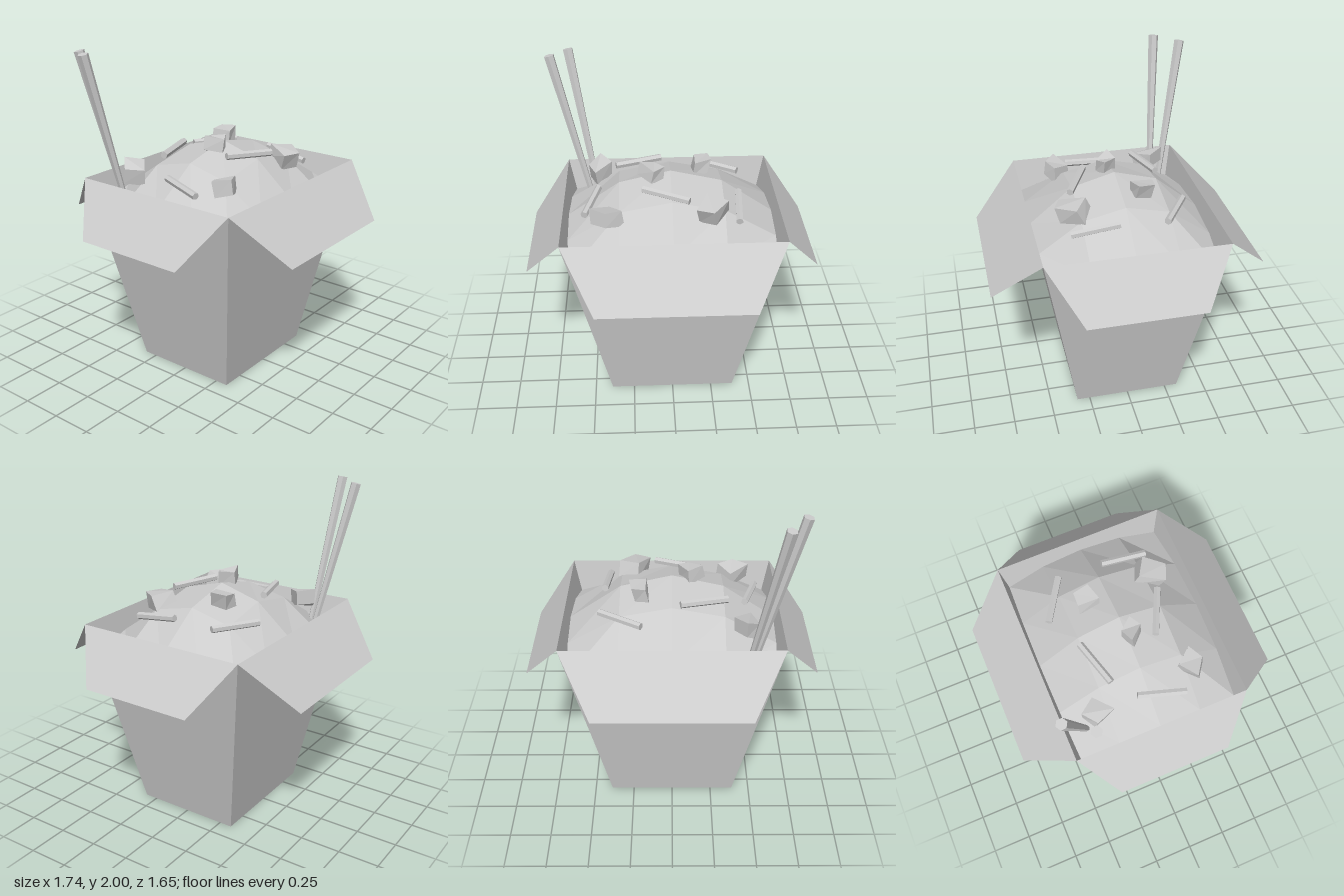
import * as THREE from 'three';

const mat = new THREE.MeshStandardMaterial({ color: 0xcccccc, flatShading: true });
const sheetMat = new THREE.MeshStandardMaterial({ color: 0xcccccc, flatShading: true, side: THREE.DoubleSide });

const RIM = 1.23;
const halfX = y => 0.39 + 0.26 * y / RIM;
const halfZ = y => 0.33 + 0.21 * y / RIM;

// Flat four-cornered sheet, corners counter-clockwise from outside
function quad(name, a, b, c, d) {
  const g = new THREE.BufferGeometry();
  g.setAttribute('position', new THREE.Float32BufferAttribute([a, b, c, a, c, d].flat(), 3));
  g.computeVertexNormals();
  const m = new THREE.Mesh(g, sheetMat);
  m.name = name;
  return m;
}

// Tapered rod between two points
function rod(name, from, to, r0, r1) {
  const a = new THREE.Vector3(...from), b = new THREE.Vector3(...to);
  const dir = b.clone().sub(a);
  const m = new THREE.Mesh(new THREE.CylinderGeometry(r1, r0, dir.length(), 6), mat);
  m.name = name;
  m.position.copy(a).add(b).multiplyScalar(0.5);
  m.quaternion.setFromUnitVectors(new THREE.Vector3(0, 1, 0), dir.normalize());
  return m;
}

// Box with its eight corners pushed about by a repeatable rule
function chunk(x, y, z, size, turn, seed) {
  const g = new THREE.BoxGeometry(size, size * 0.8, size);
  const p = g.attributes.position;
  for (let i = 0; i < p.count; i++) {
    const v = [p.getX(i), p.getY(i), p.getZ(i)];
    const corner = (v[0] > 0 ? 1 : 0) + (v[1] > 0 ? 2 : 0) + (v[2] > 0 ? 4 : 0);
    const w = v.map((c, k) => c + size * 0.16 * Math.sin(seed * 7.3 + corner * 2.9 + k * 4.1));
    p.setXYZ(i, ...w);
  }
  g.computeVertexNormals();
  const m = new THREE.Mesh(g, mat);
  m.name = 'foodChunk';
  m.position.set(x, y, z);
  m.rotation.set(0.25 * Math.sin(seed * 3), turn, 0.25 * Math.cos(seed * 5));
  return m;
}

// Domed filling whose edge follows the tapered walls
function filling() {
  const g = new THREE.PlaneGeometry(2, 2, 4, 4).rotateX(-Math.PI / 2);
  const p = g.attributes.position;
  for (let i = 0; i < p.count; i++) {
    const u = p.getX(i), v = p.getZ(i), uu = u * u, vv = v * v;
    const y = 1.415 - 0.29 * (uu + vv) + 0.19 * uu * vv;
    const x = Math.abs(u) > 0.9 ? Math.sign(u) * halfX(y) : u * 0.625;
    const z = Math.abs(v) > 0.9 ? Math.sign(v) * halfZ(y) : v * 0.525;
    p.setXYZ(i, x, y, z);
  }
  g.computeVertexNormals();
  const m = new THREE.Mesh(g, sheetMat);
  m.name = 'filling';
  return m;
}

export function createModel() {
  const model = new THREE.Group();
  model.name = 'takeawayBox';

  // Carton: floor, four walls and four folded-out flaps
  const carton = new THREE.Group();
  carton.name = 'carton';
  const bx = halfX(0), bz = halfZ(0), tx = halfX(RIM), tz = halfZ(RIM);
  carton.add(quad('floor', [-bx, 0, -bz], [bx, 0, -bz], [bx, 0, bz], [-bx, 0, bz]));
  for (const s of [1, -1]) {
    carton.add(
      quad(s > 0 ? 'frontWall' : 'backWall',
        [-s * bx, 0, s * bz], [s * bx, 0, s * bz], [s * tx, RIM, s * tz], [-s * tx, RIM, s * tz]),
      quad(s > 0 ? 'leftWall' : 'rightWall',
        [s * bx, 0, s * bz], [s * bx, 0, -s * bz], [s * tx, RIM, -s * tz], [s * tx, RIM, s * tz]),
      quad(s > 0 ? 'frontFlap' : 'backFlap',
        [-s * 0.458, 0.94, s * 0.825], [s * 0.458, 0.94, s * 0.825], [s * tx, RIM, s * tz], [-s * tx, RIM, s * tz]),
      quad(s > 0 ? 'leftFlap' : 'rightFlap',
        [s * 0.872, 0.94, s * 0.35], [s * 0.872, 0.94, -s * 0.35], [s * tx, RIM, -s * tz], [s * tx, RIM, s * tz]));
  }
  model.add(carton, filling());

  // Diced pieces: x, y, z, size, turn
  [
    [-0.44, 1.26, -0.33, 0.12, 0.5],
    [0.19, 1.385, -0.13, 0.115, 0.05],
    [-0.11, 1.42, 0.03, 0.11, 0.7],
    [-0.38, 1.275, 0.30, 0.12, 0.8],
    [0.23, 1.315, 0.30, 0.125, 1.1],
  ].forEach(([x, y, z, size, turn], i) => model.add(chunk(x, y, z, size, turn, i + 1)));

  // Thin strips lying on the filling
  [
    [[-0.33, 1.36, -0.19], [-0.05, 1.37, -0.27]],
    [[0.18, 1.29, -0.38], [0.43, 1.29, -0.22]],
    [[-0.44, 1.27, -0.07], [-0.52, 1.24, 0.21]],
    [[-0.17, 1.38, 0.16], [0.10, 1.365, 0.29]],
    [[0.41, 1.295, 0.055], [0.39, 1.25, 0.34]],
  ].forEach(([a, b]) => model.add(rod('foodStrip', a, b, 0.022, 0.022)));

  // Chopsticks standing in the back corner
  model.add(
    rod('chopstick', [-0.49, 1.04, -0.355], [-0.72, 1.995, -0.425], 0.018, 0.032),
    rod('chopstick', [-0.453, 1.04, -0.396], [-0.615, 1.985, -0.568], 0.018, 0.032));

  return model;
}
